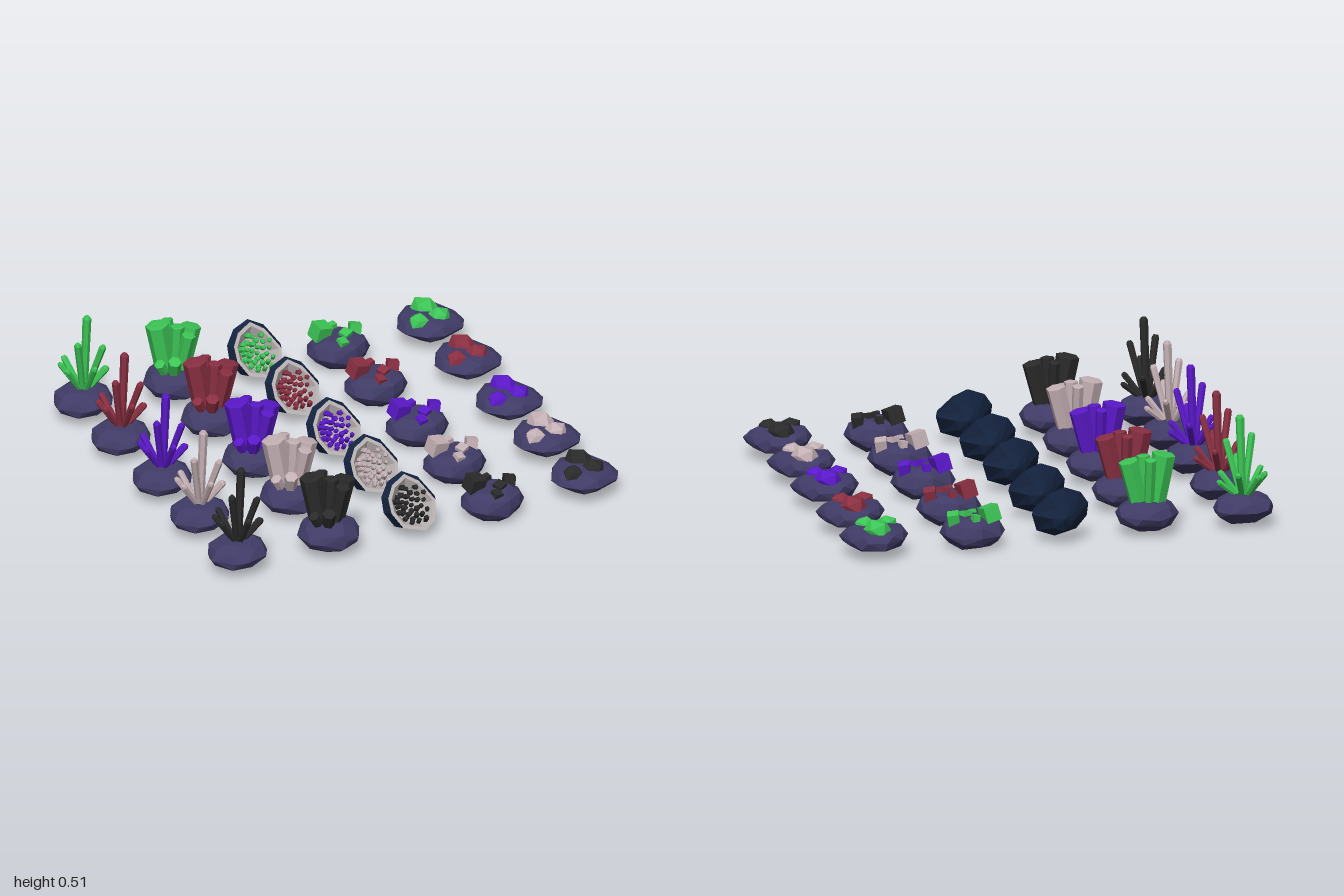
import * as THREE from 'three';
import { ConvexGeometry } from 'three/addons/geometries/ConvexGeometry.js';

const V = (x, y, z) => new THREE.Vector3(x, y, z);
const mat = (color) => new THREE.MeshStandardMaterial({ color, flatShading: true });
const rockMat = mat(0x403b66);
const shellMat = mat(0x14233f);
const rimMat = mat(0xb8b0b0);

function seeded(s) {
  return () => {
    s = (s * 16807) % 2147483647;
    return s / 2147483647;
  };
}

function part(group, name, geometry, material) {
  const m = new THREE.Mesh(geometry, material);
  m.name = name;
  group.add(m);
  return m;
}

// Faceted boulder: hull of jittered rings, fitted exactly to its bounds
function boulder(min, max, seed) {
  const rnd = seeded(seed);
  const pts = [];
  const rings = [[-1, 0.58, 6], [-0.55, 0.9, 8], [0, 1, 10], [0.6, 0.87, 8], [1, 0.55, 7]];
  rings.forEach(([y, r, n], k) => {
    for (let i = 0; i < n; i++) {
      const a = ((i + 0.5 * (k % 2) + 0.5 * rnd()) / n) * Math.PI * 2;
      const q = r * (0.9 + 0.14 * rnd());
      pts.push(V(q * Math.cos(a), y + 0.2 * (rnd() - 0.5), q * Math.sin(a)));
    }
  });
  const box = new THREE.Box3().setFromPoints(pts);
  const size = box.getSize(V(0, 0, 0));
  for (const p of pts) p.sub(box.min).divide(size).multiply(max.clone().sub(min)).add(min);
  return new ConvexGeometry(pts);
}

// Prism crystal running from base to tip, with a chamfered end
function crystal(base, tip, r, chamfer, footScale = 0.85, sides = 6) {
  const dir = tip.clone().sub(base);
  const len = dir.length();
  const profile = [[0, 0], [r * footScale, 0], [r, len - chamfer], [r * 0.6, len], [0, len]];
  const g = new THREE.LatheGeometry(profile.map(([x, y]) => new THREE.Vector2(x, y)), sides);
  g.applyQuaternion(new THREE.Quaternion().setFromUnitVectors(V(0, 1, 0), dir.normalize()));
  return g.translate(base.x, base.y, base.z);
}

// Faceted skin through clockwise rings of equal point count
function loft(rings) {
  const pos = [];
  const tri = (...ps) => ps.forEach((p) => pos.push(p.x, p.y, p.z));
  for (let k = 0; k + 1 < rings.length; k++) {
    const a = rings[k], b = rings[k + 1], n = a.length;
    for (let i = 0; i < n; i++) {
      const j = (i + 1) % n;
      tri(a[i], b[j], a[j]);
      tri(a[i], b[i], b[j]);
    }
  }
  const g = new THREE.BufferGeometry();
  g.setAttribute('position', new THREE.Float32BufferAttribute(pos, 3));
  g.computeVertexNormals();
  return g;
}

// Slim spikes fanning out of a boulder
function spikeCluster(gem) {
  const g = new THREE.Group();
  part(g, 'boulder', boulder(V(-1, 0.025, -0.13), V(-0.725, 0.155, 0.125), 11), rockMat);
  const spikes = [
    [-0.845, 0.51, 0.015, 0.02], [-0.945, 0.26, -0.065, 0.014], [-0.9, 0.26, -0.12, 0.015],
    [-0.8, 0.275, -0.12, 0.015], [-0.735, 0.22, -0.015, 0.014], [-0.757, 0.25, 0.045, 0.015],
    [-0.797, 0.385, 0.085, 0.016], [-0.855, 0.3, 0.12, 0.015], [-0.915, 0.41, 0.065, 0.017],
    [-0.95, 0.265, 0.03, 0.014],
  ];
  for (const [x, y, z, r] of spikes) {
    const base = V(-0.855 + 0.1 * (x + 0.855), 0.13, 0.1 * z);
    part(g, 'spike', crystal(base, V(x, y, z), r, 0.012), gem);
  }
  return g;
}

// Thick flat-ended columns
function columnCluster(gem) {
  const g = new THREE.Group();
  part(g, 'boulder', boulder(V(-0.555, 0.025, -0.13), V(-0.275, 0.16, 0.14), 23), rockMat);
  const columns = [
    [-0.485, 0.37, -0.02, 0.054], [-0.325, 0.342, 0, 0.046], [-0.41, 0.36, -0.07, 0.026],
    [-0.45, 0.23, 0.095, 0.03], [-0.37, 0.335, 0.07, 0.032], [-0.505, 0.21, 0.05, 0.025],
    [-0.4, 0.36, 0.015, 0.032],
  ];
  for (const [x, y, z, r] of columns) {
    const base = V(-0.415 + 0.35 * (x + 0.415), 0.1, 0.35 * z);
    part(g, 'column', crystal(base, V(x, y, z), r, 0.002), gem);
  }
  return g;
}

// Hollow geode, its opening tilted forward and up
function geode(gem) {
  const g = new THREE.Group();
  const plane = (y) => 0.14 - 0.75 * y;
  const normal = V(0, 0.75, 1).normalize();
  const centre = V(-0.005, 0.15, plane(0.15));
  const edge = [[-0.115, 0.185], [-0.08, 0.23], [-0.01, 0.26], [0.05, 0.225], [0.105, 0.145],
    [0.08, 0.075], [0.02, 0.045], [-0.08, 0.07], [-0.118, 0.13]];
  const hull = [[-0.13, 0.175], [-0.088, 0.235], [-0.013, 0.265], [0.06, 0.228], [0.126, 0.135],
    [0.095, 0.05], [0.008, 0.015], [-0.088, 0.045], [-0.13, 0.11]];
  const outer = edge.map(([x, y]) => V(x, y, plane(y)));
  const widest = hull.map(([x, y]) => V(x, y, 0.03 - 0.4 * y));
  const back = hull.map(([x, y]) => V(0.4 * x, 0.13 + 0.5 * (y - 0.14), -0.092));
  const pole = (p) => edge.map(() => p);
  const inset = (s, d) => outer.map((p) => centre.clone().lerp(p, s).addScaledVector(normal, -d));
  part(g, 'geodeShell', loft([pole(V(0, 0.13, -0.12)), back, widest, outer]), shellMat);
  part(g, 'geodeRim', loft([outer, inset(0.86, 0)]), rimMat);
  part(g, 'geodeHollow', loft([inset(0.86, 0), inset(0.62, 0.045), inset(0, 0.06)]), rimMat);

  // Short crystals lining the hollow
  const rnd = seeded(77);
  const count = 32;
  for (let i = 0; i < count; i++) {
    const s = 0.78 * Math.sqrt((i + 0.5) / count), a = i * 2.39996;
    const flat = V(0.11 * s * Math.cos(a), 0.105 * s * Math.sin(a), 0);
    flat.z = -0.75 * flat.y;
    const depth = s < 0.62 ? 0.06 - 0.024 * s : 0.045 - 0.187 * (s - 0.62);
    const base = centre.clone().add(flat).addScaledVector(normal, -depth - 0.004);
    const tip = base.clone().addScaledVector(normal, 0.028 + 0.018 * rnd()).addScaledVector(flat, -0.15);
    part(g, 'innerCrystal', crystal(base, tip, 0.01 + 0.004 * rnd(), 0.007, 1, 5), gem);
  }
  return g;
}

// Tilted cubes half sunk into a boulder
function cubeCluster(gem) {
  const g = new THREE.Group();
  part(g, 'boulder', boulder(V(0.243, 0, -0.12), V(0.535, 0.142, 0.13), 37), rockMat);
  const cubes = [
    [0.32, 0.155, -0.02, 0.072, 0.2, 0.15, -0.25], [0.395, 0.148, -0.055, 0.032, 0.1, 0.2, 0.1],
    [0.482, 0.14, -0.005, 0.052, -0.2, -0.25, -0.2], [0.42, 0.137, 0.03, 0.045, 0.25, 0.5, 0.1],
    [0.38, 0.127, 0.08, 0.042, 0.3, 0.2, -0.2],
  ];
  for (const [x, y, z, s, rx, ry, rz] of cubes) {
    const c = part(g, 'cubeCrystal', new THREE.BoxGeometry(s, s, s), gem);
    c.position.set(x, y, z);
    c.rotation.set(rx, ry, rz);
  }
  return g;
}

// Rounded gems set low in a boulder
function nuggetCluster(gem) {
  const g = new THREE.Group();
  part(g, 'boulder', boulder(V(0.693, 0.035, -0.155), V(1, 0.142, 0.145), 58), rockMat);
  const nuggets = [
    [0.85, 0.125, -0.065, 0.07, 0.3], [0.777, 0.125, 0.042, 0.05, 1.1], [0.883, 0.125, 0.032, 0.056, 2],
  ];
  for (const [x, y, z, r, turn] of nuggets) {
    const n = part(g, 'nugget', new THREE.IcosahedronGeometry(r, 0), gem);
    n.position.set(x, y, z);
    n.rotation.set(0.25, turn, 0.15);
    n.scale.y = 0.85;
  }
  return g;
}

export function createModel() {
  const model = new THREE.Group();
  model.name = 'crystalCollection';
  // One row per mineral colour, back to front
  const rows = [
    ['green', 0x3cc455, -0.8], ['red', 0x8a2f42, -0.408], ['purple', 0x5a18c8, 0.022],
    ['pale', 0xc4b0b4, 0.412], ['black', 0x2a2a2a, 0.805],
  ];
  const kinds = { spikeCluster, columnCluster, geode, cubeCluster, nuggetCluster };
  for (const [label, color, z] of rows) {
    const gem = mat(color);
    for (const [kind, build] of Object.entries(kinds)) {
      const item = build(gem);
      item.name = `${label} ${kind}`;
      item.position.z = z;
      model.add(item);
    }
  }
  return model;
}
